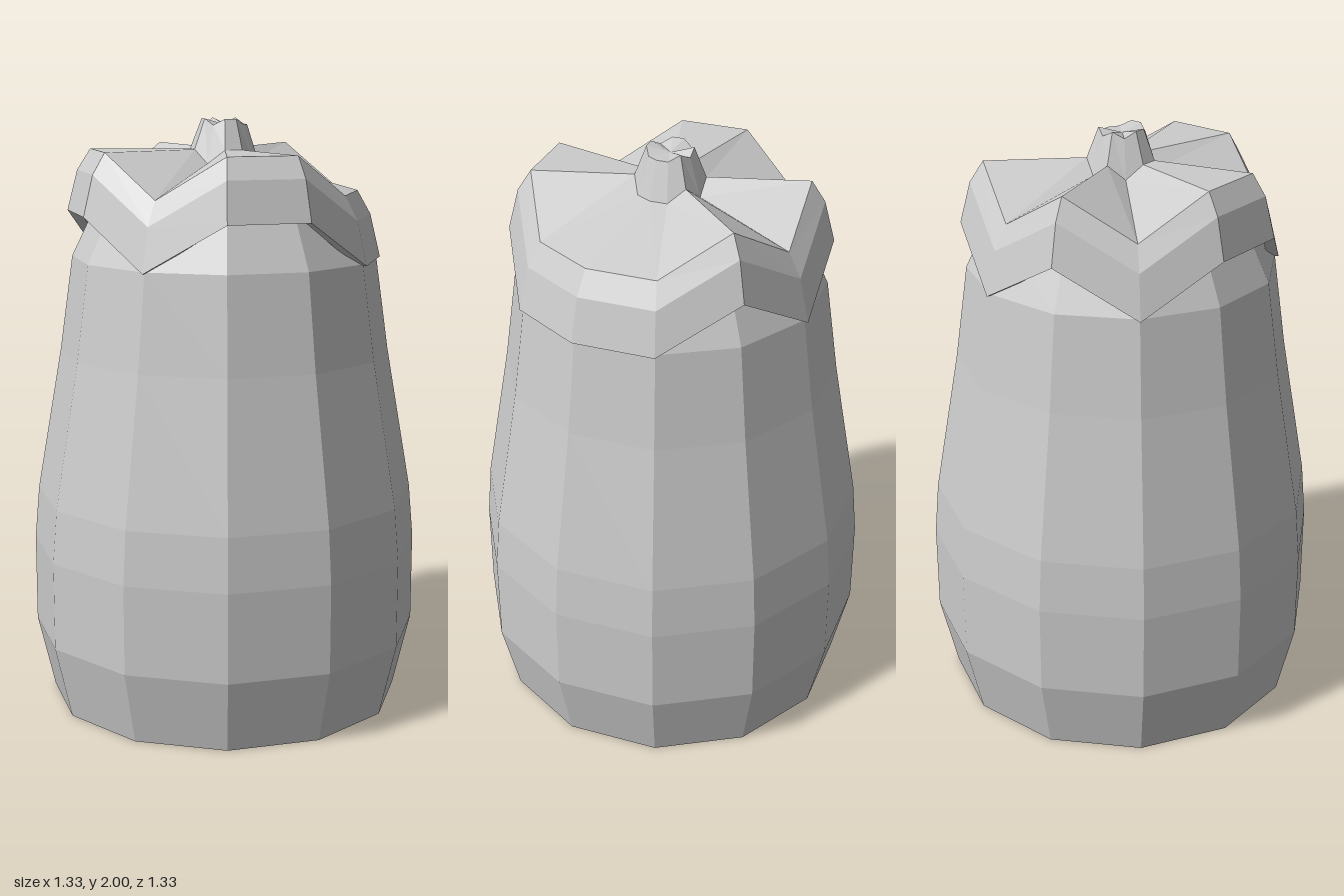
import * as THREE from 'three';

const SIDES = 12;
const material = new THREE.MeshStandardMaterial({ color: 0xcccccc, flatShading: true, side: THREE.DoubleSide });

// Sectors counted from the front (+z) towards +x: 0 = raised edge, 1 = drooping lobe
const DROOP = [0, 1, 1, 1, 0, 1, 0, 1, 0, 0, 1, 0];

// Faceted lathe; each profile point is [radius, y, drop where the lobe droops]
function facetedLathe(name, profile) {
  const points = profile.map(([r, y]) => new THREE.Vector2(r, y));
  const lathe = new THREE.LatheGeometry(points, SIDES);
  const pos = lathe.attributes.position;
  for (let i = 0; i <= SIDES; i++) {
    profile.forEach(([, y, drop = 0], j) => {
      pos.setY(i * profile.length + j, y - drop * DROOP[i % SIDES]);
    });
  }
  const geometry = lathe.toNonIndexed();
  geometry.computeVertexNormals();
  const mesh = new THREE.Mesh(geometry, material);
  mesh.name = name;
  return mesh;
}

export function createModel() {
  const model = new THREE.Group();
  model.name = 'vegetable';

  // Swollen body, closed at the base and under the cap
  model.add(facetedLathe('body', [
    [0, 0], [0.605, 0], [0.664, 0.25], [0.664, 0.55], [0.648, 0.73],
    [0.562, 1.22], [0.517, 1.54], [0.44, 1.7], [0.3, 1.77], [0, 1.79],
  ]));

  // Leafy cap with an uneven lobed edge and a thin lip underneath
  model.add(facetedLathe('cap', [
    [0.49, 1.695, 0.16], [0.53, 1.695, 0.16], [0.495, 1.83, 0.15],
    [0.45, 1.9, 0.14], [0.115, 1.9, 0.045],
  ]));

  // Short tapering stem with a slightly uneven, dished top
  model.add(facetedLathe('stem', [
    [0.115, 1.9, 0.045], [0.076, 2, 0.02], [0, 1.98],
  ]));

  return model;
}
